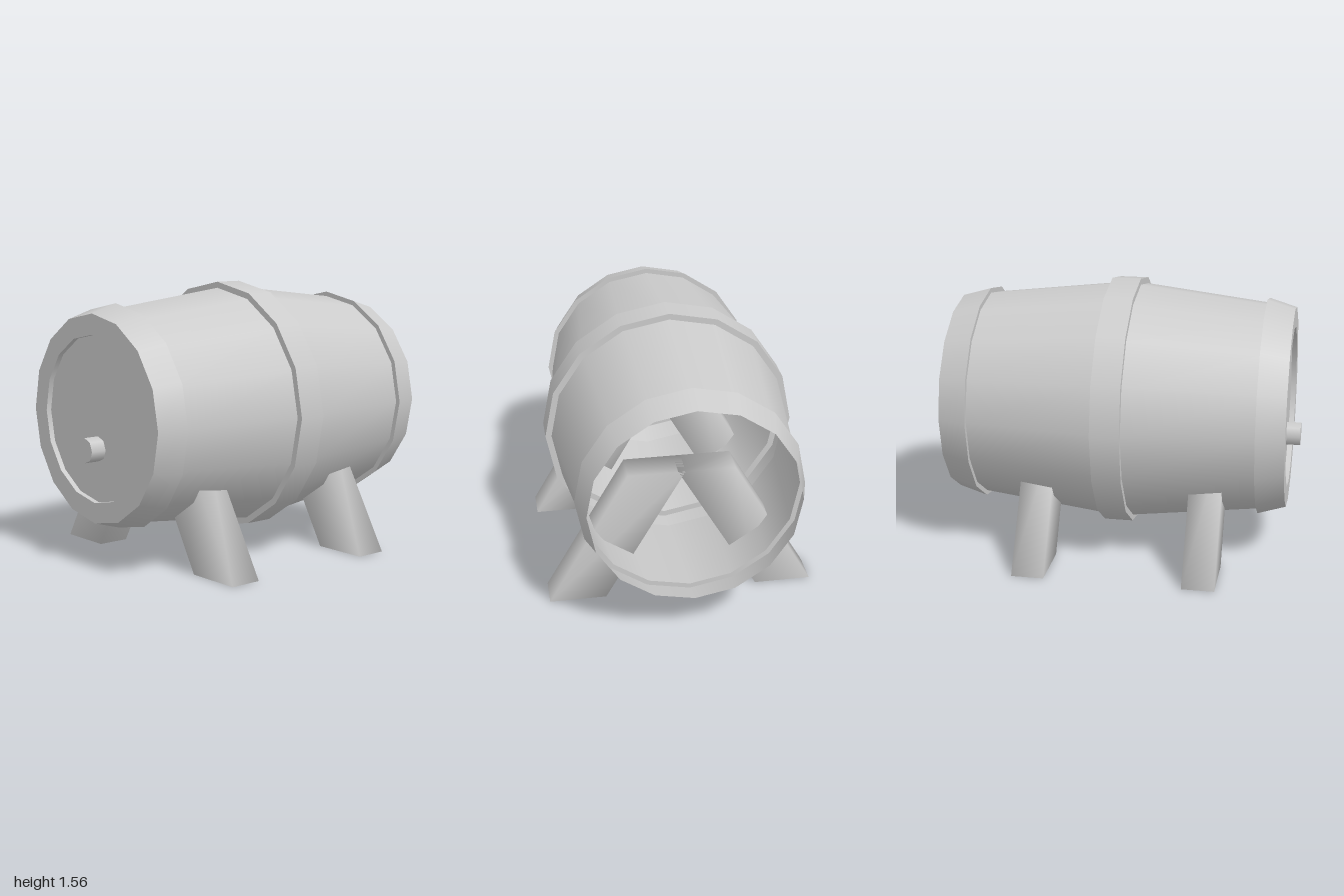
import * as THREE from 'three';
import { mergeGeometries, mergeVertices } from 'three/addons/utils/BufferGeometryUtils.js';

const AXIS_Y = 0.84;
const material = new THREE.MeshStandardMaterial({ color: 0xcccccc, side: THREE.DoubleSide });

// Revolves a [radius, z] profile around z: round around the axis, sharp between segments
function turned(profile, sides) {
  const bands = [];
  for (let i = 0; i < profile.length - 1; i++) {
    const pair = [profile[i], profile[i + 1]].map(([r, z]) => new THREE.Vector2(r, z));
    bands.push(new THREE.LatheGeometry(pair, sides));
  }
  return mergeGeometries(bands).rotateX(Math.PI / 2);
}

// Leaning plank with level ends, softly shaded across its edges
function legGeometry(side) {
  const height = 0.8;
  const geo = new THREE.BoxGeometry(0.325, height, 0.185).translate(0, height / 2, 0);
  const pos = geo.attributes.position;
  for (let i = 0; i < pos.count; i++) {
    pos.setX(i, pos.getX(i) + side * (0.603 - 0.577 * pos.getY(i)));
  }
  geo.deleteAttribute('uv');
  geo.deleteAttribute('normal');
  const smooth = mergeVertices(geo);
  smooth.computeVertexNormals();
  return smooth;
}

export function createModel() {
  const group = new THREE.Group();
  const add = (name, geometry, x, y, z) => {
    const mesh = new THREE.Mesh(geometry, material);
    mesh.name = name;
    mesh.position.set(x, y, z);
    group.add(mesh);
  };

  // Thin shell, open at the back
  const parts = {
    backHoop: [[0.58, -1], [0.628, -0.835], [0.6, -0.835]],
    backStaves: [[0.6, -0.835], [0.685, -0.11]],
    middleHoop: [[0.685, -0.11], [0.72, -0.11], [0.72, 0.055], [0.685, 0.055]],
    frontStaves: [[0.685, 0.055], [0.6, 0.78]],
    frontHoop: [[0.6, 0.78], [0.628, 0.78], [0.58, 0.94]],
    // Rim and slightly sunken lid
    frontLid: [[0.58, 0.94], [0.465, 0.94], [0.465, 0.91], [0, 0.91]],
  };
  for (const [name, profile] of Object.entries(parts)) {
    add(name, turned(profile, 16), 0, AXIS_Y, 0);
  }

  // Bung in the lid
  add('bung', turned([[0.07, 0.91], [0.07, 1], [0, 1]], 8), 0, 0.675, 0);

  // Two pairs of legs that meet inside the barrel
  for (const [end, z] of [['front', 0.502], ['back', -0.463]]) {
    for (const side of [1, -1]) {
      add(`${end}${side > 0 ? 'Left' : 'Right'}Leg`, legGeometry(side), 0, 0, z);
    }
  }
  return group;
}
